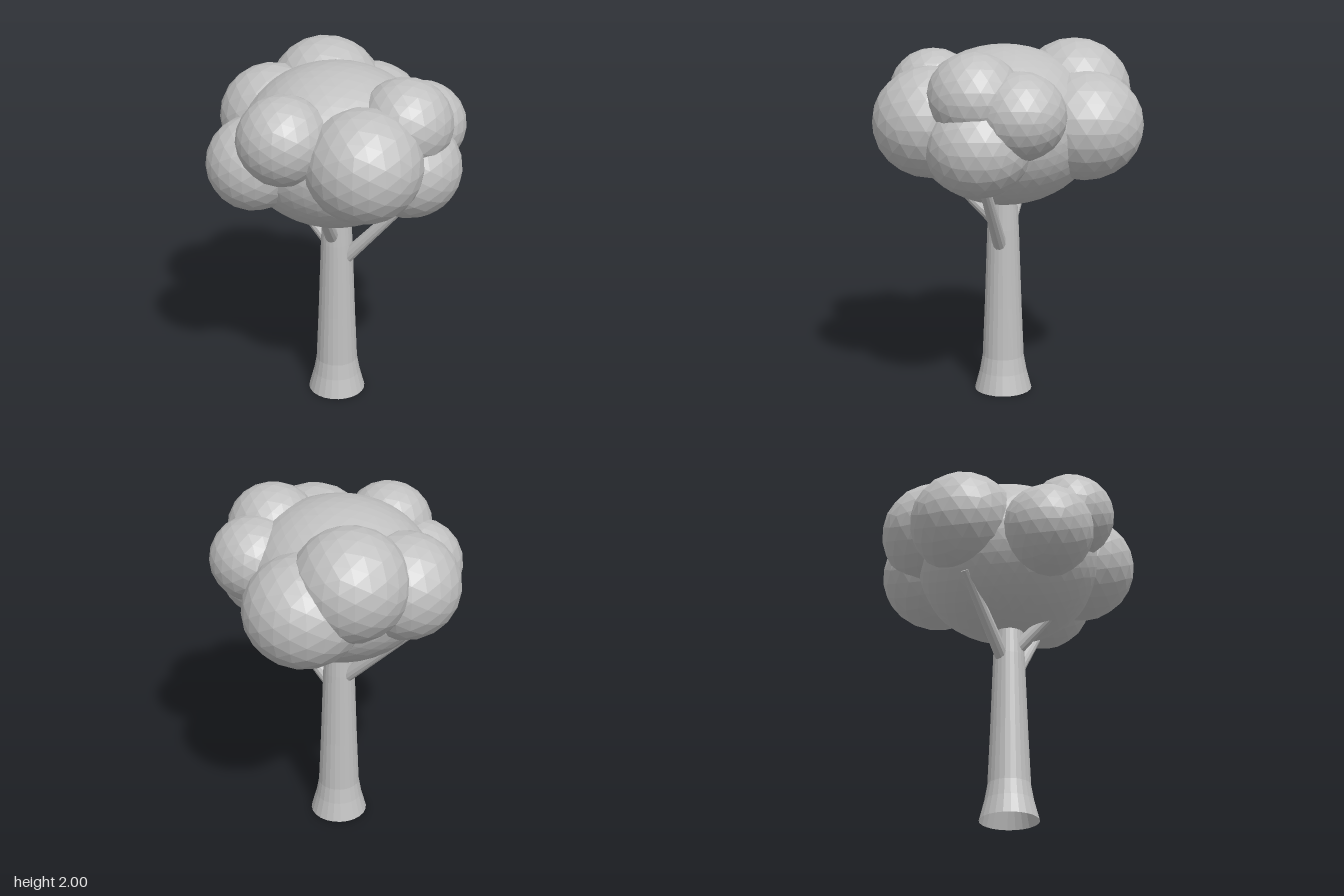
import * as THREE from 'three';

export function createModel() {
  const tree = new THREE.Group();
  tree.name = 'tree';

  const bark = new THREE.MeshStandardMaterial({ color: 0xc0c0c0, flatShading: true, side: THREE.DoubleSide });
  bark.name = 'bark grey';
  const leaf = new THREE.MeshStandardMaterial({ color: 0xc0c0c0, flatShading: true });
  leaf.name = 'leaf grey';

  const add = (name, geometry, material) => {
    const mesh = new THREE.Mesh(geometry, material);
    mesh.name = name;
    tree.add(mesh);
    return mesh;
  };

  // Flared trunk, open underneath
  const profile = [[0.163, 0], [0.134, 0.11], [0.118, 0.2], [0.105, 0.5], [0.089, 0.95], [0.075, 1.2]];
  add('trunk', new THREE.LatheGeometry(profile.map(([r, y]) => new THREE.Vector2(r, y)), 24), bark)
    .position.set(-0.005, 0, 0.035);

  // Tapered branches from the trunk up into the crown
  const branch = (name, from, to) => {
    const a = new THREE.Vector3(...from);
    const b = new THREE.Vector3(...to);
    const dir = b.clone().sub(a);
    const mesh = add(name, new THREE.CylinderGeometry(0.028, 0.04, dir.length(), 12), bark);
    mesh.position.copy(a).add(b).multiplyScalar(0.5);
    mesh.quaternion.setFromUnitVectors(new THREE.Vector3(0, 1, 0), dir.normalize());
  };
  branch('leftBranch', [0.05, 0.86, 0.05], [0.42, 1.29, 0.13]);
  branch('rightBranch', [-0.05, 0.93, 0.01], [-0.42, 1.31, -0.12]);
  branch('frontBranch', [-0.02, 0.98, 0.07], [-0.02, 1.26, 0.35]);

  // Crown core and the leaf clumps around it: centre, horizontal radius, vertical radius
  const clump = (name, centre, r, ry, detail = 3) => {
    const mesh = add(name, new THREE.IcosahedronGeometry(1, detail), leaf);
    mesh.position.set(...centre);
    mesh.scale.set(r, ry, r);
  };
  clump('crownCore', [-0.01, 1.535, 0.03], 0.53, 0.442, 7);
  clump('frontLeftClump', [0.215, 1.585, 0.42], 0.313, 0.302);
  clump('frontRightUpperClump', [-0.205, 1.695, 0.43], 0.248, 0.24);
  clump('frontRightLowerClump', [-0.39, 1.515, 0.33], 0.256, 0.255);
  clump('rightClump', [-0.395, 1.61, -0.14], 0.3, 0.288);
  clump('backRightClump', [-0.145, 1.697, -0.36], 0.317, 0.303);
  clump('backClump', [0.09, 1.55, -0.41], 0.325, 0.302);
  clump('leftUpperClump', [0.39, 1.735, 0.175], 0.255, 0.245);
  clump('leftBackClump', [0.435, 1.65, -0.06], 0.25, 0.236);
  clump('leftLowerClump', [0.41, 1.485, 0.155], 0.285, 0.272);

  return tree;
}
